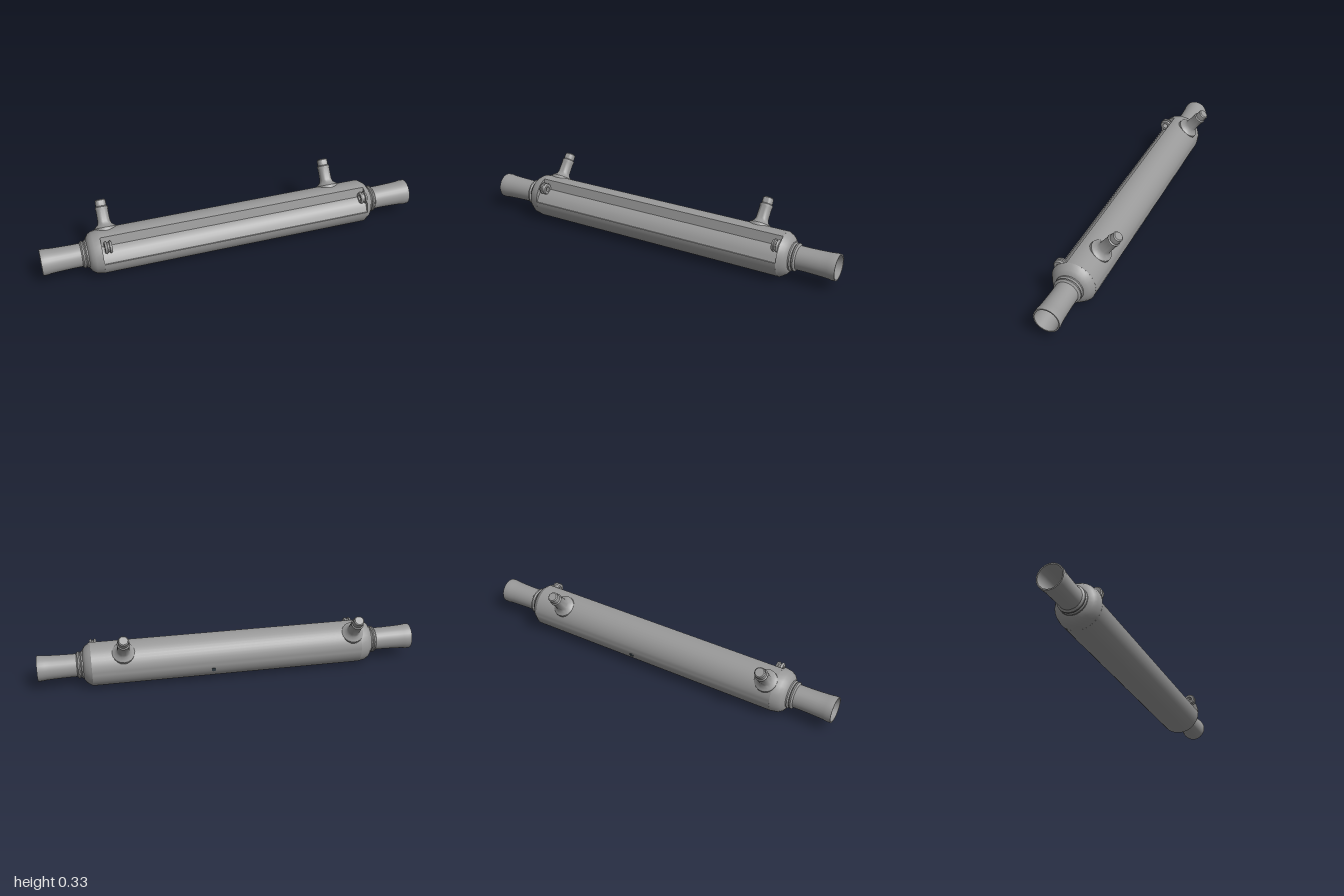
import * as THREE from 'three';
import { toCreasedNormals } from 'three/addons/utils/BufferGeometryUtils.js';

const R = 0.114;                 // shell radius
const X0 = -0.7, X1 = 0.725;     // ends of the notched middle section

const metal = new THREE.MeshStandardMaterial({ color: 0x999999, side: THREE.DoubleSide });
metal.name = 'grey metal';
const dark = new THREE.MeshStandardMaterial({ color: 0x3d4a52, side: THREE.DoubleSide });
dark.name = 'dark bore';
const orange = new THREE.MeshStandardMaterial({ color: 0xe0502a, side: THREE.DoubleSide });
orange.name = 'orange seal';

function add(parent, name, geometry, material = metal) {
  const mesh = new THREE.Mesh(geometry, material);
  mesh.name = name;
  parent.add(mesh);
  return mesh;
}

// Revolved part from [radius, height] pairs, keeping hard edges
function turned(pairs, segments = 28) {
  const pts = pairs.map(([r, h]) => new THREE.Vector2(r, h));
  return toCreasedNormals(new THREE.LatheGeometry(pts, segments), 0.7);
}

// Long shell section with a stepped notch along its upper front
function shellGeometry() {
  const pts = [];
  const a0 = Math.PI, a1 = Math.PI * 2 + 1.856, n = 36;
  for (let i = 0; i <= n; i++) {
    const a = a0 + (a1 - a0) * i / n;
    pts.push(new THREE.Vector2(R * Math.cos(a), R * Math.sin(a)));
  }
  // wall, then gently bulged floor
  for (const [z, y] of [[0.045, 0.062], [0.062, 0.055], [0.08, 0.042], [0.096, 0.024], [0.109, 0]]) {
    pts.push(new THREE.Vector2(-z, y));
  }
  const g = new THREE.ExtrudeGeometry(new THREE.Shape(pts), { depth: X1 - X0, bevelEnabled: false });
  g.rotateY(Math.PI / 2).translate(X0, 0, 0);
  return toCreasedNormals(g, 0.5);
}

// Rounded shell end with collar and hollow pipe; side is +1 or -1
function addEnd(parent, side, start) {
  const end = new THREE.Group();
  end.name = side > 0 ? 'leftEnd' : 'rightEnd';
  end.rotation.z = -side * Math.PI / 2;
  parent.add(end);
  add(end, 'shellEnd', turned([
    [0, start], [R, start], [0.108, 0.735], [0.096, 0.753], [0.078, 0.766], [0.06, 0.77],
  ]));
  add(end, 'pipeCollar', turned([
    [0.06, 0.762], [0.072, 0.767], [0.072, 0.774], [0.064, 0.78], [0.07, 0.786], [0.07, 0.793], [0.06, 0.8],
  ]));
  add(end, 'pipe', turned([
    [0.06, 0.77], [0.06, 0.85], [0.062, 0.92], [0.064, 0.96], [0.067, 0.98], [0.066, 1],
    [0.06, 1], [0.057, 0.95], [0.053, 0.85], [0.05, 0.79], [0.026, 0.785],
  ]));
  // bore and seal at the bottom of the pipe
  const bore = add(end, 'bore', new THREE.CircleGeometry(0.027, 20), dark);
  bore.rotation.x = -Math.PI / 2;
  bore.position.y = 0.784;
  const seal = add(end, 'seal', new THREE.RingGeometry(0.025, 0.028, 20), orange);
  seal.rotation.x = -Math.PI / 2;
  seal.position.y = 0.787;
}

export function createModel() {
  const root = new THREE.Group();
  root.name = 'heatExchanger';
  const core = new THREE.Group();
  core.name = 'core';
  core.position.set(0, 0.115, 0.033);
  root.add(core);

  add(core, 'shell', shellGeometry());
  addEnd(core, 1, X1);
  addEnd(core, -1, -X0);

  // Angled hose nozzles on the upper back
  const nozzle = turned([
    [0.06, 0.085], [0.058, 0.114], [0.05, 0.12], [0.037, 0.13], [0.032, 0.145], [0.031, 0.205],
    [0.033, 0.211], [0.033, 0.219], [0.027, 0.224], [0.028, 0.238], [0.027, 0.253],
    [0.022, 0.258], [0, 0.258],
  ], 20);
  for (const x of [-0.655, 0.56]) {
    const m = add(core, 'nozzle', nozzle);
    m.position.x = x;
    m.rotation.x = -0.67;
  }

  // Small ringed fittings lying in both ends of the notch
  const fitting = turned([
    [0.014, -0.018], [0.027, -0.018], [0.031, -0.012], [0.031, -0.007], [0.025, -0.004],
    [0.025, 0.004], [0.031, 0.007], [0.031, 0.012], [0.027, 0.018], [0.014, 0.018], [0.014, -0.018],
  ], 20);
  for (const x of [-0.668, 0.708]) {
    const m = add(core, 'notchFitting', fitting);
    m.rotation.z = Math.PI / 2;
    m.position.set(x, 0.073, 0.071);
  }

  // Small drain mark on the lower back
  const drain = add(core, 'drainMark', new THREE.CylinderGeometry(0.012, 0.012, 0.005, 10), dark);
  drain.rotation.x = -Math.PI / 2 - 0.35;
  drain.position.set(0.1, -Math.sin(0.35) * R, -Math.cos(0.35) * R);

  return root;
}
